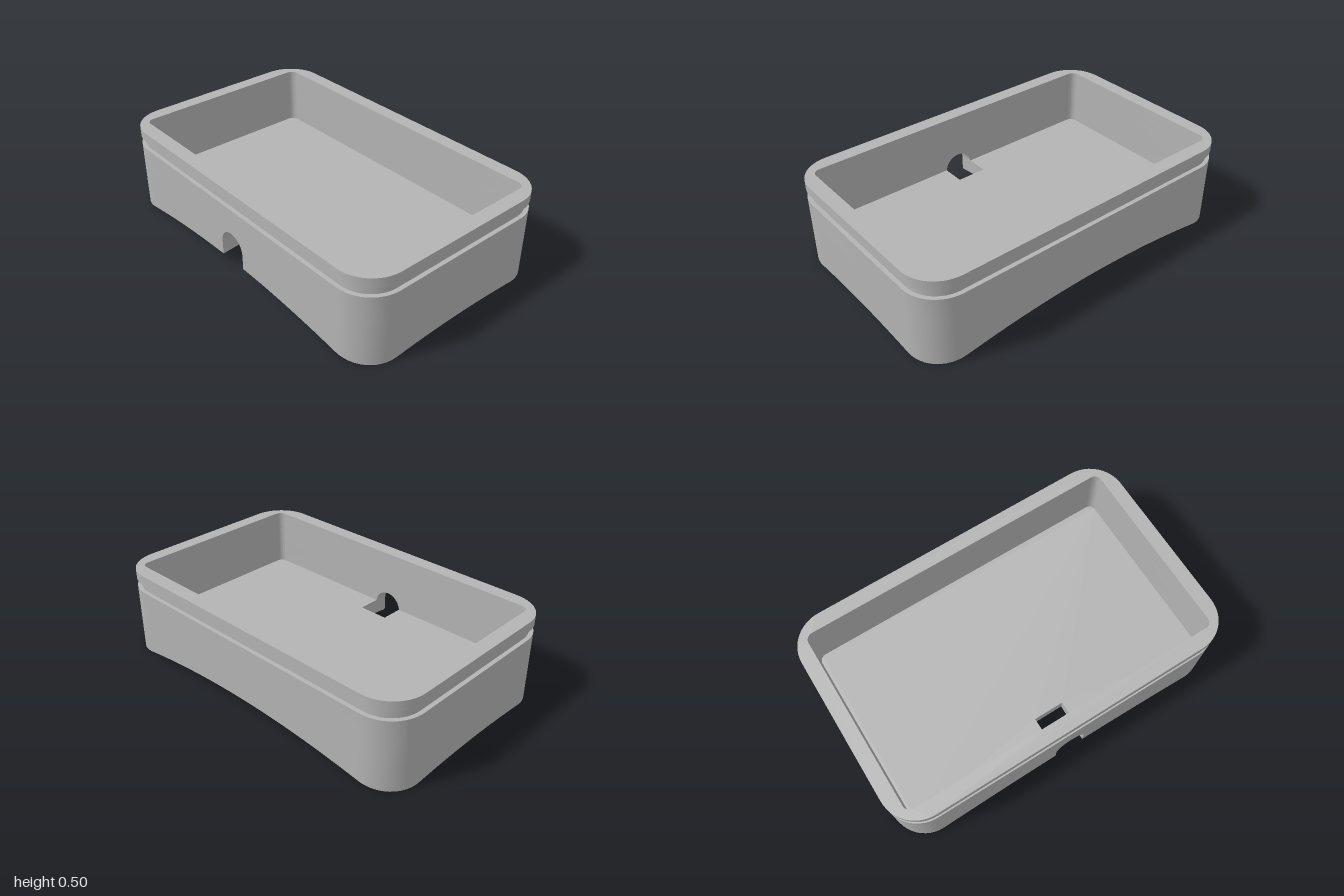
import * as THREE from 'three';
import { mergeGeometries, toCreasedNormals } from 'three/addons/utils/BufferGeometryUtils.js';

const W = 1, D = 0.618, R = 0.2;              // outer half width, half depth, corner radius
const IW = 0.92, ID = 0.536, IR = 0.04;       // cavity
const FLOOR = 0.173, BAND = 0.27;             // floor level, start of the unbroken wall
const G = 0.0875, NOTCH_Z = 0.405, SPRING = 0.1625; // cable notch

// Height of the concave underside
const dome = (x, z) => Math.max(0, 0.112 - 0.092 * (x * x + z * z));

// Rounded rectangle path as [x, z], from the front notch's right edge round to its left edge
function outline(w, d, r) {
  const pts = [[G, d]];
  [[1, 1], [1, -1], [-1, -1], [-1, 1]].forEach(([sx, sz], q) => {
    for (let i = 0; i <= 12; i++) {
      const t = (q + i / 12) * Math.PI / 2;
      pts.push([sx * (w - r) + r * Math.sin(t), sz * (d - r) + r * Math.cos(t)]);
    }
  });
  pts.push([-G, d]);
  return pts;
}

// Split long segments so that edges can follow the dome
function subdivide(pts, step = 0.06) {
  const out = [pts[0]];
  for (let i = 1; i < pts.length; i++) {
    const [a, b] = [pts[i - 1], pts[i]];
    const n = Math.max(1, Math.ceil(Math.hypot(b[0] - a[0], b[1] - a[1]) / step));
    for (let k = 1; k <= n; k++) out.push([a[0] + (b[0] - a[0]) * k / n, a[1] + (b[1] - a[1]) * k / n]);
  }
  return out;
}

function indexed(pos, idx) {
  const g = new THREE.BufferGeometry();
  g.setAttribute('position', new THREE.Float32BufferAttribute(pos, 3));
  g.setIndex(idx);
  g.computeVertexNormals();
  return g;
}

// Upright wall along a path
function wall(path, low, top) {
  const pos = [], idx = [];
  path.forEach(([x, z], i) => {
    pos.push(x, low(x, z), z, x, top, z);
    const a = 2 * i;
    if (i < path.length - 1) idx.push(a, a + 2, a + 3, a, a + 3, a + 1);
  });
  return toCreasedNormals(indexed(pos, idx), 0.6);
}

const toShape = pts => new THREE.Shape(pts.map(([x, z]) => new THREE.Vector2(x, -z)));

// Flat ring between an inset outer outline and the cavity
function ring(inset, y0, y1) {
  const shape = toShape(outline(W - inset, D - inset, R - inset));
  shape.holes.push(toShape(outline(IW, ID, IR)));
  const g = new THREE.ExtrudeGeometry(shape, { depth: y1 - y0, bevelEnabled: false });
  g.rotateX(-Math.PI / 2).translate(0, y0, 0);
  return toCreasedNormals(g, 0.6);
}

// Domed underside over a span of x, optionally cut short at the front
function undersideSpan(xs, front) {
  const pos = [], idx = [], N = 20;
  xs.forEach((x, i) => {
    const e = Math.max(0, Math.abs(x) - (W - R));
    const back = D - R + Math.sqrt(Math.max(0, R * R - e * e));
    const f = front ?? back;
    for (let j = 0; j <= N; j++) {
      const z = -back + (f + back) * j / N;
      pos.push(x, dome(x, z), z);
      if (i < xs.length - 1 && j < N) {
        const a = i * (N + 1) + j, b = a + N + 1;
        idx.push(a, b, b + 1, a, b + 1, a + 1);
      }
    }
  });
  return indexed(pos, idx);
}

export function createModel() {
  const group = new THREE.Group();
  const grey = new THREE.MeshStandardMaterial({ color: 0xb3b3b3 });
  grey.name = 'grey plastic';
  const add = (name, geometry) => {
    const mesh = new THREE.Mesh(geometry, grey);
    mesh.name = name;
    group.add(mesh);
  };

  // Lower walls, open at the front notch
  add('outerSkirt', wall(subdivide(outline(W, D, R)), dome, BAND));
  add('innerWall', wall(outline(IW, ID, IR).reverse(), () => FLOOR, BAND));

  // Unbroken bands: body, recessed groove, rim
  add('bodyBand', ring(0, BAND, 0.4));
  add('groove', ring(0.023, 0.4, 0.45));
  add('rim', ring(0, 0.45, 0.505));

  // Cavity floor with the notch cut out
  const floor = new THREE.ShapeGeometry(toShape([...outline(IW, ID, IR), [-G, NOTCH_Z], [G, NOTCH_Z]]));
  add('floor', floor.rotateX(-Math.PI / 2).translate(0, FLOOR, 0));

  // Notch sides and back, then the arch over it
  const notch = [[-G, D], [-G, NOTCH_Z], [G, NOTCH_Z], [G, D]];
  add('notchSides', wall(subdivide(notch), dome, FLOOR));
  const arch = new THREE.Shape();
  arch.moveTo(-G, SPRING);
  arch.lineTo(-G, BAND);
  arch.lineTo(G, BAND);
  arch.lineTo(G, SPRING);
  arch.absarc(0, SPRING, G, 0, Math.PI, false);
  const archGeo = new THREE.ExtrudeGeometry(arch, { depth: D - ID, bevelEnabled: false, curveSegments: 24 });
  add('notchArch', toCreasedNormals(archGeo.translate(0, 0, ID), 0.6));

  // Underside: right span, its mirror, and the strip behind the notch
  const xs = [];
  for (let i = 0; i <= 12; i++) xs.push(G + (W - R - G) * i / 12);
  for (let i = 1; i <= 12; i++) xs.push(W - R + R * Math.sin(i / 12 * Math.PI / 2));
  add('underside', mergeGeometries([
    undersideSpan(xs),
    undersideSpan(xs.map(x => -x).reverse()),
    undersideSpan([-G, 0, G], NOTCH_Z),
  ]));

  return group;
}
